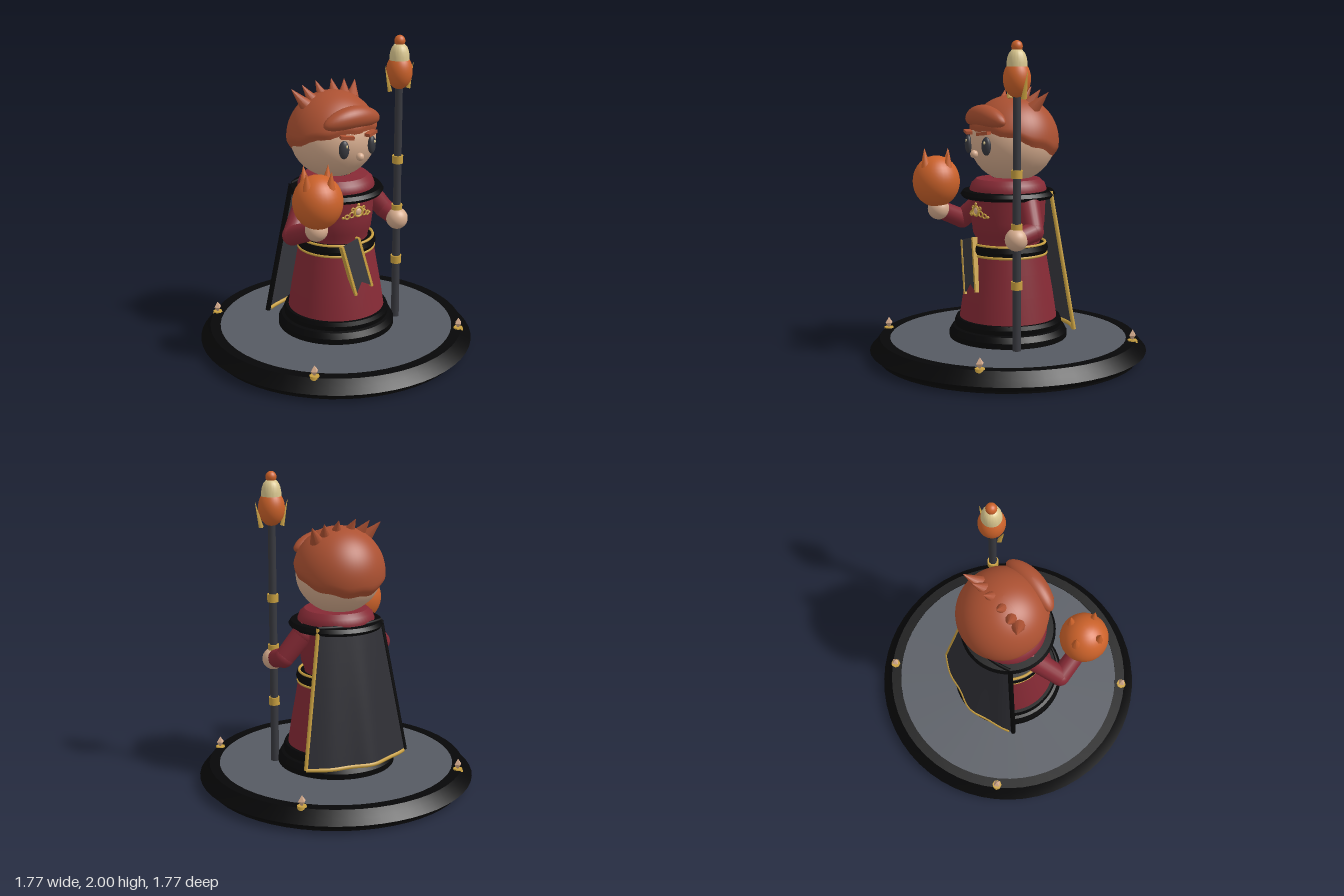
import * as THREE from 'three';
import { toCreasedNormals } from 'three/addons/utils/BufferGeometryUtils.js';

const mat = (name, color, side = THREE.FrontSide) => {
  const m = new THREE.MeshStandardMaterial({ color, side });
  m.name = name;
  return m;
};
const V = (x, y, z) => new THREE.Vector3(x, y, z);

// Move every vertex of a geometry by a rule
const reshape = (geo, rule) => {
  const pos = geo.attributes.position;
  for (let i = 0; i < pos.count; i++) {
    const p = rule(V(pos.getX(i), pos.getY(i), pos.getZ(i)));
    pos.setXYZ(i, p.x, p.y, p.z);
  }
  geo.computeVertexNormals();
  return geo;
};

export function createModel() {
  const black = mat('black', 0x070708);
  const slate = mat('slate', 0x565a62);
  const charcoal = mat('charcoal', 0x38393f, THREE.DoubleSide);
  const darkCloth = mat('dark cloth', 0x2f2f35, THREE.DoubleSide);
  const red = mat('crimson', 0x862a35);
  const gold = mat('gold', 0xc9a040);
  const orange = mat('orange', 0xcc622a);
  const rust = mat('rust hair', 0xac5132, THREE.DoubleSide);
  const cream = mat('cream', 0xd9c68e);
  const skin = mat('skin', 0xd6ac8e);

  const root = new THREE.Group();
  const add = (name, geo, material, x = 0, y = 0, z = 0, parent = root) => {
    const m = new THREE.Mesh(geo, material);
    m.name = name;
    m.position.set(x, y, z);
    parent.add(m);
    return m;
  };
  const lathe = (name, pts, material, x = 0, z = 0, crease = 0.5) =>
    add(name, toCreasedNormals(new THREE.LatheGeometry(pts.map(p => new THREE.Vector2(...p)), 56), crease), material, x, 0, z);
  const ball = (name, material, x, y, z, rx, ry = rx, rz = rx) => {
    const m = add(name, new THREE.SphereGeometry(1, 32, 20), material, x, y, z);
    m.scale.set(rx, ry, rz);
    return m;
  };
  // Tapered rod between two points
  const rod = (name, material, a, b, r0, r1, seg = 16) => {
    const d = b.clone().sub(a);
    const m = add(name, new THREE.CylinderGeometry(r1, r0, d.length(), seg), material);
    m.position.copy(a).addScaledVector(d, 0.5);
    m.quaternion.setFromUnitVectors(V(0, 1, 0), d.normalize());
    return m;
  };
  const tube = (name, material, pts, r, seg = 32) =>
    add(name, new THREE.TubeGeometry(new THREE.CatmullRomCurve3(pts), seg, r, 8), material);

  // Round plinth
  lathe('plinthRim', [[0.83, 0], [0.83, 0.012], [0.883, 0.052], [0.848, 0.09], [0.82, 0.13], [0.755, 0.13], [0.755, 0.12]], black);
  add('plinthTop', new THREE.CylinderGeometry(0.757, 0.757, 0.03, 64), slate, 0, 0.111, 0);
  add('plinthBottom', new THREE.CylinderGeometry(0.826, 0.826, 0.01, 64), slate, 0, 0.005, 0);
  for (const x of [-0.565, 0.565]) for (const z of [-0.565, 0.565]) {
    add('studMount', new THREE.CylinderGeometry(0.03, 0.034, 0.02, 8), gold, x, 0.127, z);
    add('studGem', new THREE.OctahedronGeometry(1), skin, x, 0.165, z).scale.set(0.026, 0.037, 0.026);
  }

  // Robe, belt and collar
  lathe('hem', [[0.375, 0.13], [0.375, 0.165], [0.355, 0.2], [0.335, 0.205], [0.34, 0.235], [0.33, 0.26], [0.29, 0.26]], black);
  lathe('skirt', [[0.31, 0.255], [0.285, 0.42], [0.26, 0.56], [0.24, 0.68]], red);
  lathe('belt', [[0.22, 0.67], [0.245, 0.675], [0.255, 0.7], [0.247, 0.73], [0.2, 0.735]], black);
  for (const [y, r] of [[0.668, 0.243], [0.735, 0.235]])
    add('beltTrim', new THREE.TorusGeometry(r, 0.009, 8, 48), gold, 0, y, 0).rotation.x = Math.PI / 2;
  lathe('torso', [[0.2, 0.72], [0.205, 0.765], [0.222, 0.8], [0.232, 0.88], [0.235, 0.97], [0.24, 1.04],
    [0.243, 1.08], [0.23, 1.115], [0.2, 1.142], [0.1, 1.15]], red);
  lathe('collarRing', [[0.235, 1.03], [0.285, 1.024], [0.3, 1.045], [0.285, 1.068], [0.235, 1.07]], black);

  // Chest ornament
  add('chestRing', new THREE.TorusGeometry(0.03, 0.007, 8, 24), gold, 0, 0.95, 0.238);
  ball('chestGem', skin, 0, 0.95, 0.236, 0.022, 0.022, 0.012);
  for (const s of [-1, 1]) {
    [[0.048, 0.935, 0.016], [0.078, 0.925, 0.013], [0.04, 0.968, 0.01]].forEach(([x, y, r]) => {
      const z = Math.sqrt(0.238 ** 2 - x * x);
      add('chestCurl', new THREE.TorusGeometry(r, 0.005, 6, 16), gold, s * x, y, z).rotation.y = s * x / 0.238;
    });
    ball('chestBead', gold, s * 0.1, 0.92, 0.214, 0.009);
  }
  ball('chestBead', gold, 0, 0.995, 0.238, 0.01);

  // Hanging sash with a swallowtail end
  const sash = new THREE.Group();
  sash.name = 'sash';
  sash.position.set(-0.075, 0.767, 0.252);
  sash.rotation.set(-0.09, 0, 0.25);
  root.add(sash);
  const tail = [[-0.065, 0], [-0.065, -0.34], [0, -0.28], [0.065, -0.34], [0.065, 0]];
  add('sashCloth', new THREE.ExtrudeGeometry(new THREE.Shape(tail.map(p => new THREE.Vector2(...p))),
    { depth: 0.008, bevelEnabled: false }), charcoal, 0, 0, 0, sash);
  for (const s of [-1, 1])
    add('sashTrim', new THREE.BoxGeometry(0.016, 0.345, 0.036), gold, s * 0.065, -0.172, -0.006, sash);

  // Cape: a flared, rippled sheet with a lining
  const cape = (u, v) => {
    const L = THREE.MathUtils.lerp, arch = 1 - u * u;
    return V(u * L(0.225, 0.365, v), L(1.07, 0.205, v),
      L(-0.17, -0.255, v) - arch * L(0.055, 0.108, v) + 0.016 * v * arch * arch * Math.sin(6.4 * (u - 0.085)));
  };
  const sheet = () => reshape(new THREE.PlaneGeometry(2, 1, 32, 12), p => cape(p.x, 0.5 - p.y));
  add('capeLining', sheet(), charcoal);
  add('cape', sheet(), darkCloth, 0, 0, -0.006);
  const steps = Array.from({ length: 17 }, (_, i) => i / 16);
  tube('capeTrimLeft', gold, steps.map(t => cape(1, t)), 0.013);
  tube('capeTrimBottom', gold, steps.map(t => cape(t * 1.94 - 0.94, 1)), 0.014, 48);
  tube('capeEdgeRight', black, steps.map(t => cape(-1, t)), 0.016);
  tube('capeEdgeTop', black, steps.map(t => cape(t * 2 - 1, 0)), 0.012);

  // Arms and hands
  const arm = (side, shoulder, elbow, hand) => {
    rod(side + 'UpperArm', red, shoulder, elbow, 0.07, 0.062, 20);
    rod(side + 'Forearm', red, elbow, hand, 0.062, 0.058, 20);
    ball(side + 'Shoulder', red, ...shoulder, 0.071);
    ball(side + 'Elbow', red, ...elbow, 0.063);
    ball(side + 'Hand', skin, ...hand, 0.07);
  };
  arm('left', V(0.235, 1.0, 0.005), V(0.35, 0.85, 0.045), V(0.357, 0.815, 0.175));
  arm('right', V(-0.235, 1.0, 0), V(-0.4, 0.84, 0.1), V(-0.36, 0.925, 0.3));

  // Spiked orb
  ball('orb', orange, -0.36, 1.105, 0.315, 0.152, 0.165, 0.152);
  for (const [x, z] of [[-0.03, -0.105], [-0.1, 0.03], [0.03, 0.1], [0.1, -0.035]])
    rod('orbSpike', orange, V(-0.36 + x * 0.9, 1.2, 0.315 + z * 0.9), V(-0.36 + x, 1.31, 0.315 + z), 0.032, 0.001, 8);

  // Staff
  const sx = 0.357, sz = 0.172;
  rod('staffShaft', charcoal, V(sx, 0.13, sz), V(sx, 1.7, sz), 0.026, 0.024);
  for (const y of [0.535, 0.885, 1.21])
    add('staffBand', new THREE.CylinderGeometry(0.035, 0.035, 0.05, 20), gold, sx, y, sz);
  ball('staffHead', orange, sx, 1.775, sz, 0.083, 0.112, 0.083);
  lathe('staffCrown', [[0.05, 1.835], [0.063, 1.842], [0.062, 1.87], [0.057, 1.9], [0.047, 1.927], [0.03, 1.945], [0, 1.95]],
    cream, sx, sz, 0.8);
  ball('staffTip', orange, sx, 1.964, sz, 0.034, 0.036, 0.034);
  for (const s of [-1, 1])
    rod('staffBlade', gold, V(sx + s * 0.072, 1.66, sz), V(sx + s * 0.112, 1.82, sz), 0.022, 0.001, 4).scale.x = 0.75;

  // Head and hair; the hairline is high in front and low behind
  ball('head', skin, 0, 1.375, -0.033, 0.27, 0.255, 0.27);
  const hairRule = p => {
    const theta = Math.acos(THREE.MathUtils.clamp(p.y, -1, 1));
    const phi = Math.atan2(p.z, p.x), t = theta / Math.PI;
    const a = t * (1.675 - 0.345 * Math.sin(phi) + 0.025 * Math.sin(9 * phi));
    const r = 0.289 - 0.02 * THREE.MathUtils.smoothstep(t, 0.88, 1);
    return V(Math.cos(phi) * Math.sin(a) * r, Math.cos(a) * r, Math.sin(phi) * Math.sin(a) * r);
  };
  // The unit sphere stops just short of its lower pole, which spreads into the hairline
  add('hairCap', reshape(new THREE.SphereGeometry(1, 64, 28, 0, Math.PI * 2, 0, Math.PI * 0.995), hairRule), rust, 0, 1.375, -0.037);
  const fringe = ball('fringe', rust, 0, 1.537, 0.182, 0.207, 0.07, 0.07);
  reshape(fringe.geometry, p => V(p.x, p.y - 0.45 * p.x * p.x, p.z - 0.25 * p.x * p.x));
  [[-0.24, 1.685], [-0.16, 1.7], [-0.06, 1.715], [0.06, 1.715], [0.16, 1.7], [0.245, 1.685]].forEach(([x, y]) =>
    rod('hairSpike', rust, V(x * 0.72, y - 0.1, -0.07), V(x, y, -0.135), 0.044, 0.001, 10));

  // Face
  for (const s of [-1, 1]) {
    const eye = ball('eye', charcoal, s * 0.105, 1.36, 0.228, 0.032, 0.057, 0.022);
    eye.rotation.y = s * 0.4;
    ball('eyeGlint', cream, s * 0.105 + 0.008, 1.382, 0.247, 0.008, 0.01, 0.006);
    const brow = add('eyebrow', new THREE.BoxGeometry(0.085, 0.02, 0.04), rust, s * 0.09, 1.437, 0.238);
    brow.rotation.set(0, s * 0.35, s * 0.12);
  }
  ball('nose', skin, 0, 1.305, 0.25, 0.025);

  return root;
}
